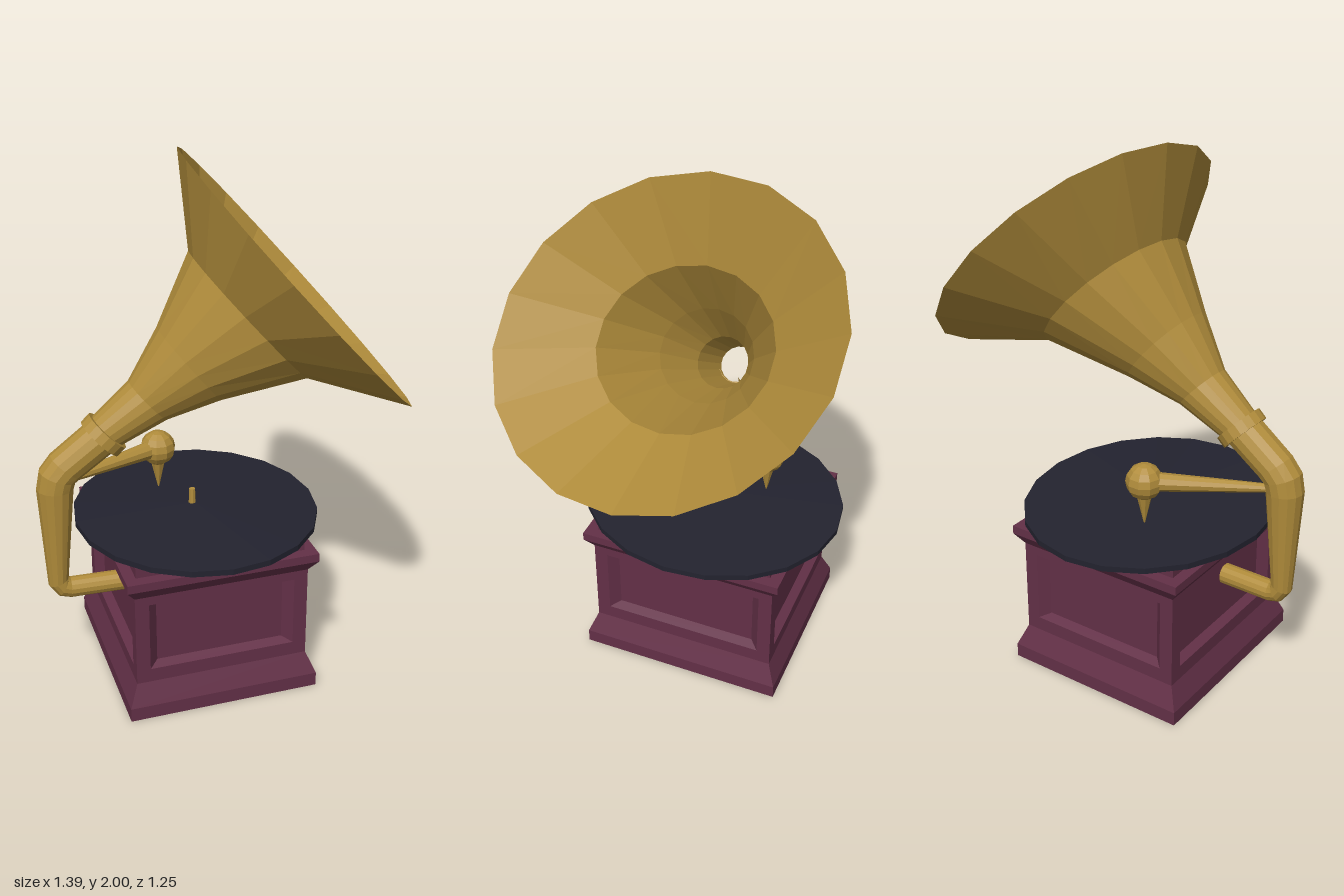
import * as THREE from 'three';

const mat = (name, color) => {
  const m = new THREE.MeshStandardMaterial({ color, flatShading: true });
  m.name = name;
  return m;
};

// Joins rings of points (counter-clockwise about the direction of travel) into a skin
function loft(rings, capStart = false, capEnd = false) {
  const n = rings[0].length, idx = [];
  for (let i = 0; i < rings.length - 1; i++)
    for (let j = 0; j < n; j++) {
      const a = i * n + j, b = i * n + (j + 1) % n;
      idx.push(a, b, b + n, a, b + n, a + n);
    }
  const last = (rings.length - 1) * n;
  for (let j = 1; j < n - 1; j++) {
    if (capStart) idx.push(0, j + 1, j);
    if (capEnd) idx.push(last, last + j, last + j + 1);
  }
  const g = new THREE.BufferGeometry();
  g.setAttribute('position', new THREE.Float32BufferAttribute(rings.flat(2), 3));
  g.setIndex(idx);
  g.computeVertexNormals();
  return g;
}

// Horizontal rectangle for the cabinet mouldings
const rect = ([y, hx, hz]) => [[hx, y, hz], [hx, y, -hz], [-hx, y, -hz], [-hx, y, hz]];

// Round section at (x, y), heading at an angle in the xy plane
function hoop([x, y, deg, r, rz = r, lean = 0], sides, z = 0.015) {
  const a = THREE.MathUtils.degToRad(deg), pts = [];
  for (let i = 0; i < sides; i++) {
    const t = i / sides * Math.PI * 2, c = r * Math.cos(t), s = Math.sin(t);
    pts.push([x - c * Math.sin(a), y + c * Math.cos(a) + lean * s, z + rz * s]);
  }
  return pts;
}

export function createModel() {
  const gold = mat('brass', 0xb08c3b);
  const wood = mat('dark red wood', 0x633047);
  const black = mat('record black', 0x23232f);
  const hornGold = mat('horn brass', 0xb08c3b);
  hornGold.side = THREE.DoubleSide;

  const model = new THREE.Group();
  model.name = 'gramophone';
  const add = (parent, name, geo, material) => {
    const m = new THREE.Mesh(geo, material);
    m.name = name;
    parent.add(m);
    return m;
  };

  // Cabinet: plinth, cornice and deck, turned very slightly
  const cabinet = new THREE.Group();
  cabinet.name = 'cabinet';
  cabinet.position.set(-0.0875, 0, -0.035);
  cabinet.rotation.y = 0.03;
  model.add(cabinet);
  const HX = 0.335, HZ = 0.37;
  add(cabinet, 'plinth', loft([[0, 0.37, 0.404], [0.055, 0.37, 0.404], [0.14, HX, HZ]].map(rect), true), wood);
  add(cabinet, 'cornice', loft([[0.51, HX, HZ], [0.555, 0.367, 0.4], [0.588, 0.367, 0.4]].map(rect), false, true), wood);
  add(cabinet, 'deck', loft([[0.585, 0.325, 0.355], [0.63, 0.325, 0.355]].map(rect), false, true), wood);

  // Four walls, each with a bevelled sunken panel
  for (let k = 0; k < 4; k++) {
    const [w, d] = k % 2 ? [HZ, HX] : [HX, HZ];
    const frame = [[w, 0.14, 0.51, d], [w - 0.053, 0.195, 0.475, d], [w - 0.088, 0.21, 0.465, d - 0.035]];
    const rings = frame.map(([h, y0, y1, z]) => [[-h, y0, z], [h, y0, z], [h, y1, z], [-h, y1, z]]);
    add(cabinet, 'panelledWall', loft(rings, false, true), wood).rotation.y = k * Math.PI / 2;
  }

  // Record, slightly domed and tilted, with its spindle
  const disc = add(model, 'record', new THREE.LatheGeometry(
    [[0, -0.012], [0.5, -0.016], [0.5, 0.006], [0, 0.02]].map(p => new THREE.Vector2(...p)), 20), black);
  disc.scale.set(0.94, 1, 1.03);
  disc.position.set(-0.08, 0.641, -0.038);
  disc.rotation.x = -0.02;
  add(model, 'spindle', new THREE.CylinderGeometry(0.012, 0.015, 0.08, 8), gold).position.set(-0.09, 0.68, -0.04);

  // Bent pipe rising from the cabinet side to the collar
  const pipe = [
    [-0.37, 0.395, 180, 0.04], [-0.59, 0.397, 178, 0.04], [-0.618, 0.408, 150, 0.042],
    [-0.634, 0.435, 110, 0.042], [-0.627, 0.83, 88, 0.07], [-0.616, 0.878, 68, 0.072],
    [-0.585, 0.913, 48, 0.072], [-0.435, 1.025, 44, 0.074]
  ];
  add(model, 'pipe', loft(pipe.map(s => hoop(s, 14)), true), gold);

  // Collar
  const collar = [[-0.453, 1.006, 44, 0.074], [-0.453, 1.006, 44, 0.092],
    [-0.422, 1.036, 44, 0.092], [-0.422, 1.036, 44, 0.074]];
  add(model, 'collar', loft(collar.map(s => hoop(s, 18))), gold);

  // Flared horn, open at the mouth
  const horn = [
    [-0.435, 1.025, 44, 0.074], [-0.268, 1.137, 42, 0.102], [-0.11, 1.262, 39, 0.178, 0.185],
    [0.115, 1.427, 42, 0.305, 0.335, -0.02], [0.29, 1.56, 42.3, 0.596, 0.637, -0.08]
  ];
  add(model, 'horn', loft(horn.map((s, i) => hoop(s, 18, i > 2 ? 0 : 0.012))), hornGold);

  // Tone arm from the pipe to the ball-shaped sound head
  const from = new THREE.Vector3(-0.6, 0.84, -0.01), to = new THREE.Vector3(-0.18, 0.825, -0.22);
  const dir = to.clone().sub(from);
  const arm = add(model, 'toneArm', new THREE.CylinderGeometry(0.038, 0.015, dir.length(), 10), gold);
  arm.position.copy(from).add(to).multiplyScalar(0.5);
  arm.quaternion.setFromUnitVectors(new THREE.Vector3(0, 1, 0), dir.normalize());
  add(model, 'soundHead', new THREE.SphereGeometry(0.07, 10, 8), gold).position.copy(to);
  const needle = add(model, 'needle', new THREE.CylinderGeometry(0.033, 0.003, 0.13, 8), gold);
  needle.position.set(-0.18, 0.72, -0.22);

  return model;
}
